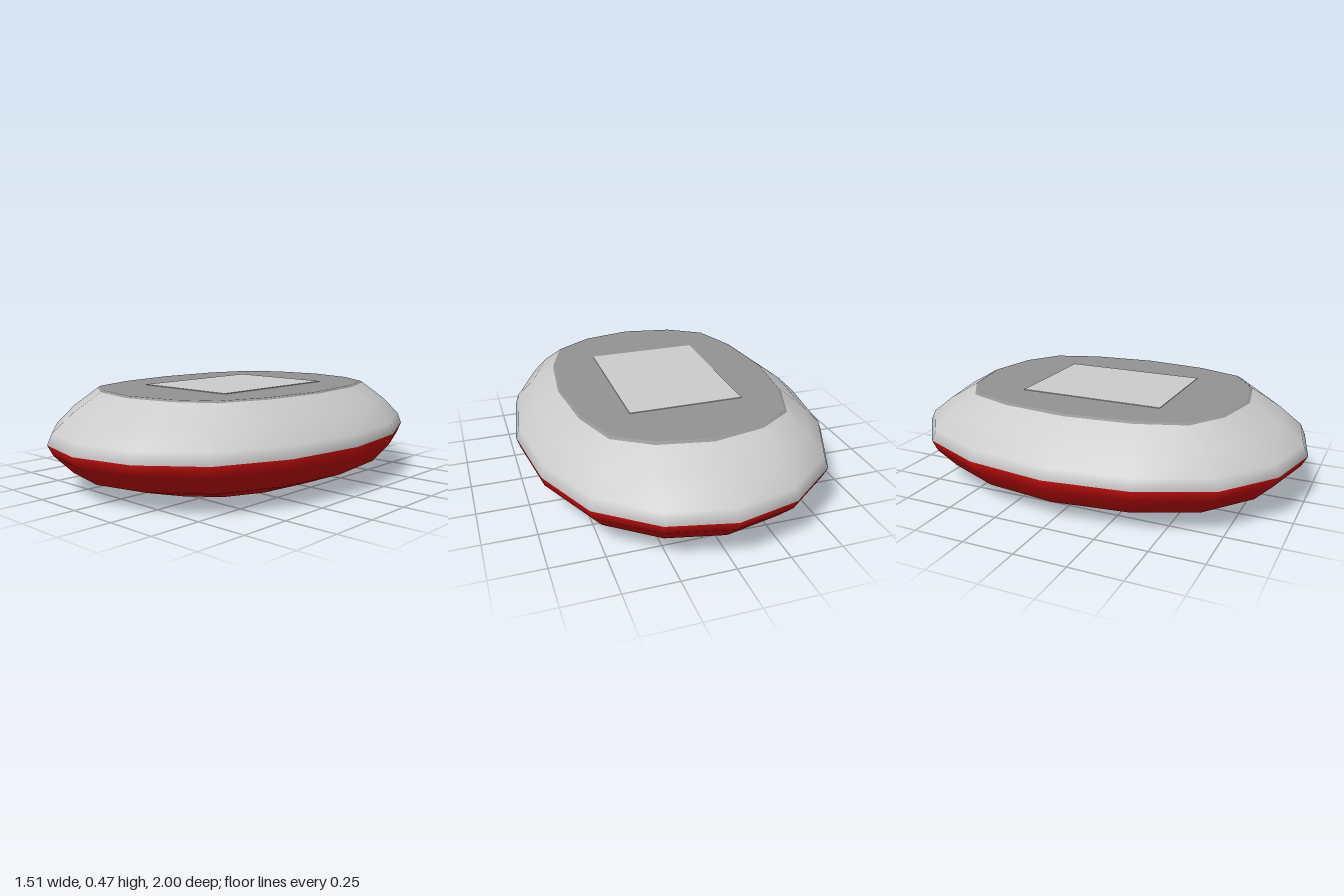
import * as THREE from 'three';

// Quarter outlines on a unit oval, from front tip to left tip: [x, z]
const OVAL = [[0, 1], [0.396, 0.93], [0.733, 0.73], [0.93, 0.4], [1, 0]];
const SQUARISH = [[0, 1], [0.467, 0.93], [0.785, 0.775], [0.935, 0.455], [1, 0]];
const SIDES = 16;

// Horizontal ring; blend 0 = oval, 1 = squarish
function ring([rx, y, rz, blend = 0]) {
  const points = [];
  for (let j = 0; j < SIDES; j++) {
    const quarter = Math.floor(j / 4), k = j % 4;
    const i = quarter % 2 ? 4 - k : k;
    const x = THREE.MathUtils.lerp(OVAL[i][0], SQUARISH[i][0], blend);
    const z = THREE.MathUtils.lerp(OVAL[i][1], SQUARISH[i][1], blend);
    const sx = quarter < 2 ? 1 : -1;
    const sz = quarter === 0 || quarter === 3 ? 1 : -1;
    points.push(sx * x * rx, y, sz * z * rz);
  }
  return points;
}

// Skin over rings listed from bottom to top, with smooth normals
function loft(levels) {
  const index = [];
  for (let i = 0; i < levels.length - 1; i++) {
    for (let j = 0; j < SIDES; j++) {
      const a = i * SIDES + j, b = i * SIDES + (j + 1) % SIDES;
      index.push(a, b, b + SIDES, a, b + SIDES, a + SIDES);
    }
  }
  const geometry = new THREE.BufferGeometry();
  geometry.setAttribute('position', new THREE.Float32BufferAttribute(levels.flatMap(ring), 3));
  geometry.setIndex(index);
  geometry.computeVertexNormals();
  return geometry;
}

// Flat lid over one ring, facing up or down
function cap(level, up) {
  const index = [];
  for (let j = 0; j < SIDES; j++) {
    const a = j, b = (j + 1) % SIDES;
    index.push(SIDES, up ? a : b, up ? b : a);
  }
  const geometry = new THREE.BufferGeometry();
  geometry.setAttribute('position', new THREE.Float32BufferAttribute([...ring(level), 0, level[1], 0], 3));
  geometry.setIndex(index);
  geometry.computeVertexNormals();
  return geometry;
}

// Keep only the bands from one level to another, with the shared normals
function bands(geometry, from, to) {
  const part = geometry.clone();
  const perBand = SIDES * 6;
  part.setIndex(Array.from(geometry.index.array.slice(from * perBand, to * perBand)));
  return part.toNonIndexed();
}

export function createModel() {
  const model = new THREE.Group();
  const grey = new THREE.MeshStandardMaterial({ color: 0xcccccc });
  const darkGrey = new THREE.MeshStandardMaterial({ color: 0x929292 });
  const red = new THREE.MeshStandardMaterial({ color: 0xc00c0c });
  const add = (name, geometry, material) => {
    const mesh = new THREE.Mesh(geometry, material);
    mesh.name = name;
    model.add(mesh);
  };

  // Body profile: [half width, height, half length, squareness]
  const body = [
    [0.43, 0, 0.57],
    [0.665, 0.09, 0.88],
    [0.74, 0.18, 0.972],
    [0.757, 0.232, 1],
    [0.74, 0.285, 0.975],
    [0.65, 0.37, 0.86, 0.4],
    [0.535, 0.455, 0.71, 1],
  ];
  const skin = loft(body);
  add('lowerShell', bands(skin, 0, 3), red);
  add('underside', cap(body[0], false), red);
  add('upperShell', bands(skin, 3, 6), grey);

  // Dark top panel with a thin bevelled rim
  const panelTop = [0.523, 0.463, 0.695, 1];
  add('panelRim', loft([body[6], panelTop]), darkGrey);
  add('topPanel', cap(panelTop, true), darkGrey);

  // Pale rectangular plate set on the panel
  const plate = new THREE.BoxGeometry(0.55, 0.01, 0.72);
  plate.translate(0, 0.461, 0);
  add('topPlate', plate, grey);

  return model;
}
